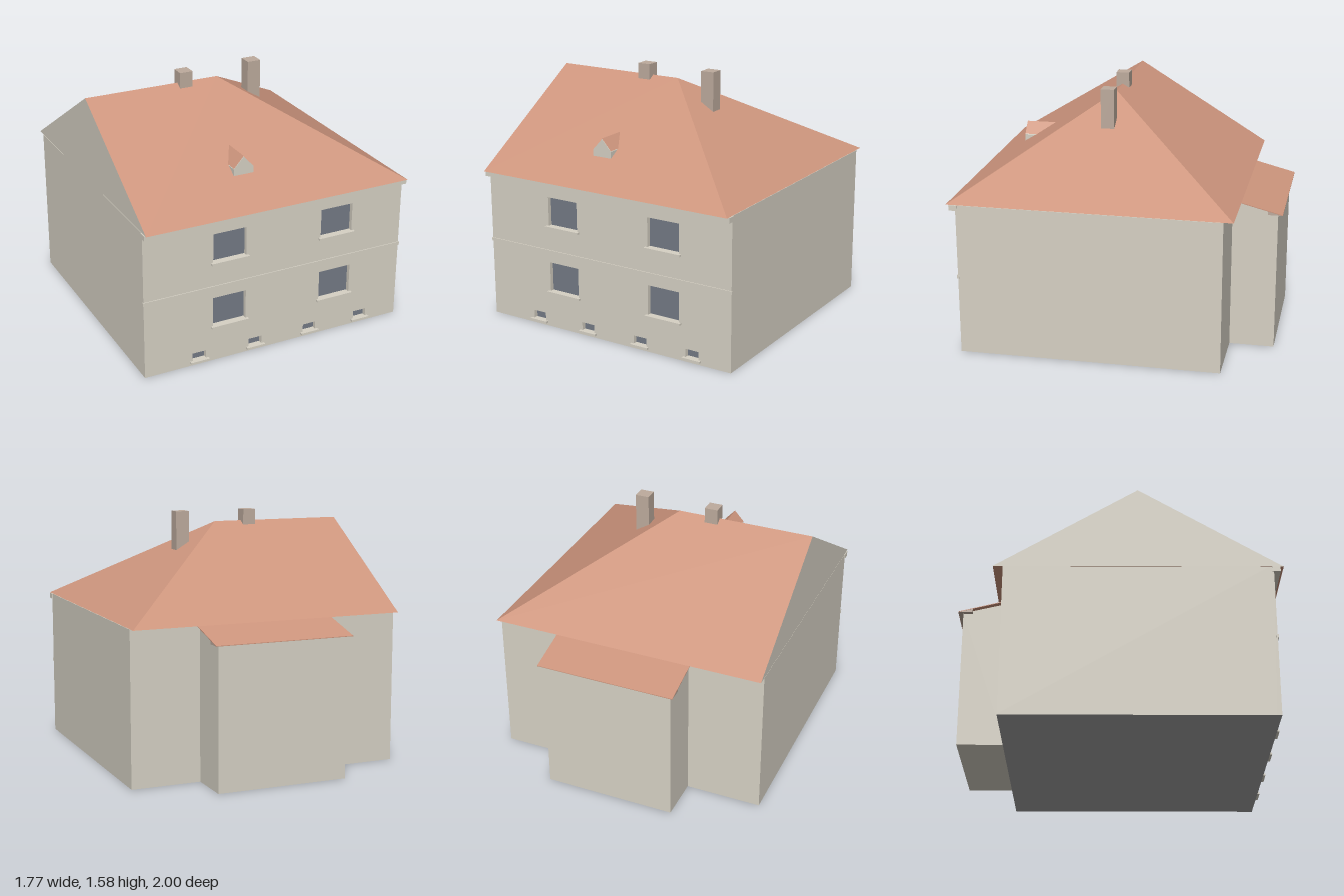
import * as THREE from 'three';

const mat = (name, color) => {
  const m = new THREE.MeshStandardMaterial({ color });
  m.name = name;
  return m;
};

// Flat convex polygons, corners counter-clockwise from outside
function facets(polys) {
  const pos = [];
  for (const p of polys)
    for (let i = 1; i < p.length - 1; i++) pos.push(...p[0], ...p[i], ...p[i + 1]);
  const g = new THREE.BufferGeometry();
  g.setAttribute('position', new THREE.Float32BufferAttribute(pos, 3));
  g.computeVertexNormals();
  return g;
}

const outline = (pts) => new THREE.Shape(pts.map(([x, y]) => new THREE.Vector2(x, y)));
const extrude = (shape, depth) => new THREE.ExtrudeGeometry(shape, { depth, bevelEnabled: false });

// Extrudes a [z, y] profile along x
const prism = (profile, x0, x1) =>
  extrude(outline(profile), x1 - x0).rotateY(-Math.PI / 2).translate(x1, 0, 0);

export function createModel() {
  const house = new THREE.Group();
  house.name = 'house';
  const wall = mat('plaster', 0xd6d1c4);
  const tile = mat('roofTile', 0xcd957d);
  const brick = mat('chimneyStone', 0xbdab9d);
  const glass = mat('windowGlass', 0x747a85);
  const base = mat('foundation', 0xa0a0a0);

  const add = (name, geometry, material, parent = house) => {
    const m = new THREE.Mesh(geometry, material);
    m.name = name;
    parent.add(m);
    return m;
  };
  const box = (name, material, x0, x1, y0, y1, z0, z1, parent) =>
    add(name, new THREE.BoxGeometry(x1 - x0, y1 - y0, z1 - z0)
      .translate((x0 + x1) / 2, (y0 + y1) / 2, (z0 + z1) / 2), material, parent);

  const W = 0.88, FRONT = 0.94, BACK = -0.69, EAVE = 0.965, REVEAL = 0.03;

  // Ground slab and main block
  box('foundation', [wall, wall, wall, base, wall, wall], -W, W, 0, 0.004, BACK, FRONT);
  box('mainWalls', wall, -W, W, 0.004, EAVE - 0.002, BACK, FRONT - REVEAL);

  // Front windows: [centre x, bottom, top, half width, sill half width]
  const windows = [];
  for (const x of [-0.318, 0.415])
    for (const [y0, y1] of [[0.24, 0.43], [0.67, 0.855]]) windows.push([x, y0, y1, 0.11, 0.125]);
  for (const x of [-0.52, -0.14, 0.245, 0.615]) windows.push([x, 0.03, 0.082, 0.045, 0.062]);

  // Front wall with openings
  const facade = outline([[-W, 0.004], [W, 0.004], [W, EAVE - 0.002], [-W, EAVE - 0.002]]);
  for (const [x, y0, y1, w, s] of windows) {
    facade.holes.push(outline([[x - w, y0], [x - w, y1], [x + w, y1], [x + w, y0]]));
    const g = new THREE.Group();
    g.name = 'window';
    house.add(g);
    const z = FRONT - REVEAL;
    box('pane', glass, x - w, x + w, y0, y1, z - 0.002, z + 0.003, g);
    box('sill', wall, x - s, x + s, y0 - 0.013, y0, FRONT - 0.01, FRONT + 0.02, g);
  }
  add('frontWall', extrude(facade, REVEAL).translate(0, 0, FRONT - REVEAL), wall);

  // Horizontal mouldings across the front
  box('stringCourse', wall, -W - 0.004, W + 0.004, 0.49, 0.512, FRONT - 0.01, FRONT + 0.006);
  box('cornice', wall, -W - 0.005, W + 0.005, 0.93, EAVE - 0.002, FRONT - 0.01, 0.98);

  // Main roof: hipped at one end, gabled at the other
  const A = [-W, EAVE, 1], B = [W, EAVE, 1], C = [W, EAVE, -0.75], D = [-W, EAVE, -0.75];
  const R0 = [-W, 1.5, 0.125], R1 = [0, 1.5, 0.125];
  add('mainRoof', facets([[A, B, R1, R0], [B, C, R1], [C, D, R0, R1], [A, D, C, B]]), tile);
  add('gableWall', facets([[D, A, R0]]), wall);

  // Rear extension with lean-to roof and boxed eave
  add('extensionWalls', prism([[-0.68, 0], [-0.68, 0.958], [-0.97, 0.888], [-0.97, 0]], -0.4, 0.44), wall);
  add('extensionRoof', prism([[-0.69, 0.967], [-1, 0.888], [-1, 0.884], [-0.69, 0.962]], -0.425, 0.465), tile);
  add('extensionEave', prism([[-0.91, 0.907], [-0.998, 0.884], [-0.91, 0.884]], -0.424, 0.464), brick);

  // Chimneys
  box('ridgeChimney', brick, -0.27, -0.185, 1.475, 1.575, 0.082, 0.167);
  box('hipChimney', brick, 0.2, 0.288, 1.31, 1.575, 0.082, 0.167);

  // Small dormer on the front slope
  const dormer = new THREE.Group();
  dormer.name = 'dormer';
  house.add(dormer);
  const c = -0.138, h = 0.065, z0 = 0.55, z1 = 0.762;
  add('dormerWalls', extrude(outline([[c - h, 1.108], [c + h, 1.108], [c + h, 1.153], [c, 1.223], [c - h, 1.153]]),
    z1 - z0).translate(0, 0, z0), wall, dormer);
  const slope = (s) => [[c + s * h, 1.157, z1], [c, 1.228, z1], [c, 1.228, z0], [c + s * h, 1.157, z0]];
  add('dormerRoof', facets([slope(-1), slope(1).reverse()]), tile, dormer);

  return house;
}
